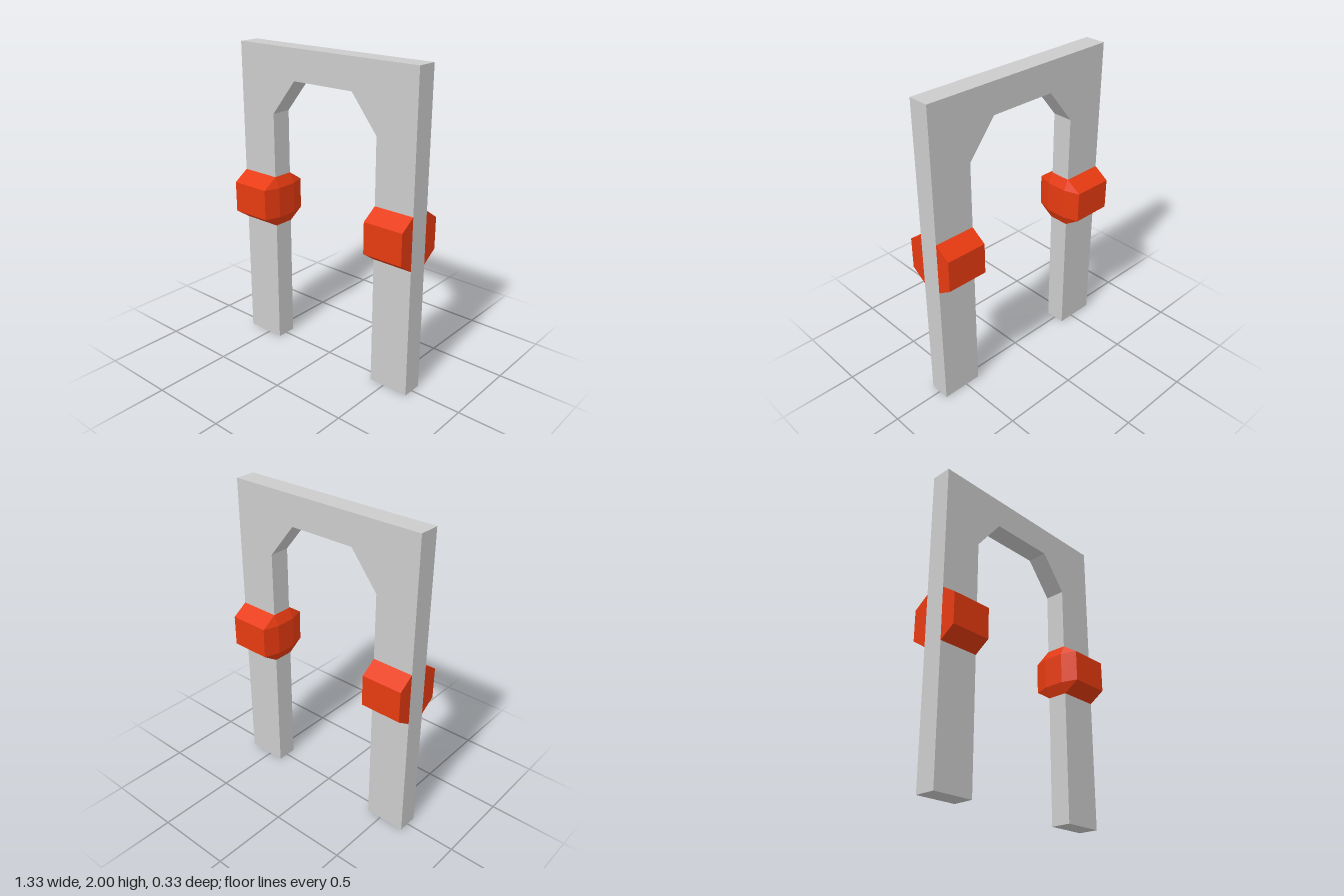
import * as THREE from 'three';

const W = 0.667, IN = 0.4, D = 0.067; // outer half width, inner half width, half depth

// Flat arch with a chamfered opening
function makeArch() {
  const half = [[W, 0], [W, 2], [-W, 2], [-W, 0], [-IN, 0], [-IN, 1.58], [-0.22, 1.805],
    [0.22, 1.805], [IN, 1.58], [IN, 0]];
  const shape = new THREE.Shape(half.map(([x, y]) => new THREE.Vector2(x, y)));
  const geo = new THREE.ExtrudeGeometry(shape, { depth: 2 * D, bevelEnabled: false });
  geo.translate(0, 0, -D);
  const mesh = new THREE.Mesh(geo, new THREE.MeshStandardMaterial({ color: 0xcccccc, flatShading: true }));
  mesh.name = 'archFrame';
  return mesh;
}

// Bevelled pad wrapped around the front, inner side and back of one leg
function makePad(side, material) {
  // each station: base x, base z, raised x, raised z
  const stations = [
    [W, D, W, 0.167], [IN, D, IN, 0.167], [IN, D, 0.367, D],
    [IN, -D, 0.367, -D], [IN, -D, IN, -0.167], [W, -D, W, -0.167],
  ];
  const rings = stations.map(([bx, bz, ox, oz]) => [
    [bx, 1.167, bz], [ox, 1.1, oz], [ox, 0.9, oz], [bx, 0.833, bz],
  ].map(([x, y, z]) => new THREE.Vector3(x * side, y, z)));

  const points = [];
  const tri = (a, b, c) => {
    if (a.equals(b) || b.equals(c) || a.equals(c)) return;
    points.push(...(side > 0 ? [a, b, c] : [a, c, b]));
  };
  const quad = (a, b, c, d) => { tri(a, b, c); tri(a, c, d); };

  for (let i = 0; i < rings.length - 1; i++) {
    for (let j = 0; j < 3; j++) {
      quad(rings[i][j], rings[i + 1][j], rings[i + 1][j + 1], rings[i][j + 1]);
    }
  }
  // end caps flush with the outer side of the leg
  quad(...rings[0]);
  quad(...[...rings[rings.length - 1]].reverse());

  const geo = new THREE.BufferGeometry().setFromPoints(points);
  geo.computeVertexNormals();
  const mesh = new THREE.Mesh(geo, material);
  mesh.name = side > 0 ? 'leftLegPad' : 'rightLegPad';
  return mesh;
}

export function createModel() {
  const group = new THREE.Group();
  group.name = 'archway';
  group.add(makeArch());
  const orange = new THREE.MeshStandardMaterial({ color: 0xe63a10, flatShading: true });
  for (const side of [1, -1]) group.add(makePad(side, orange));
  return group;
}
